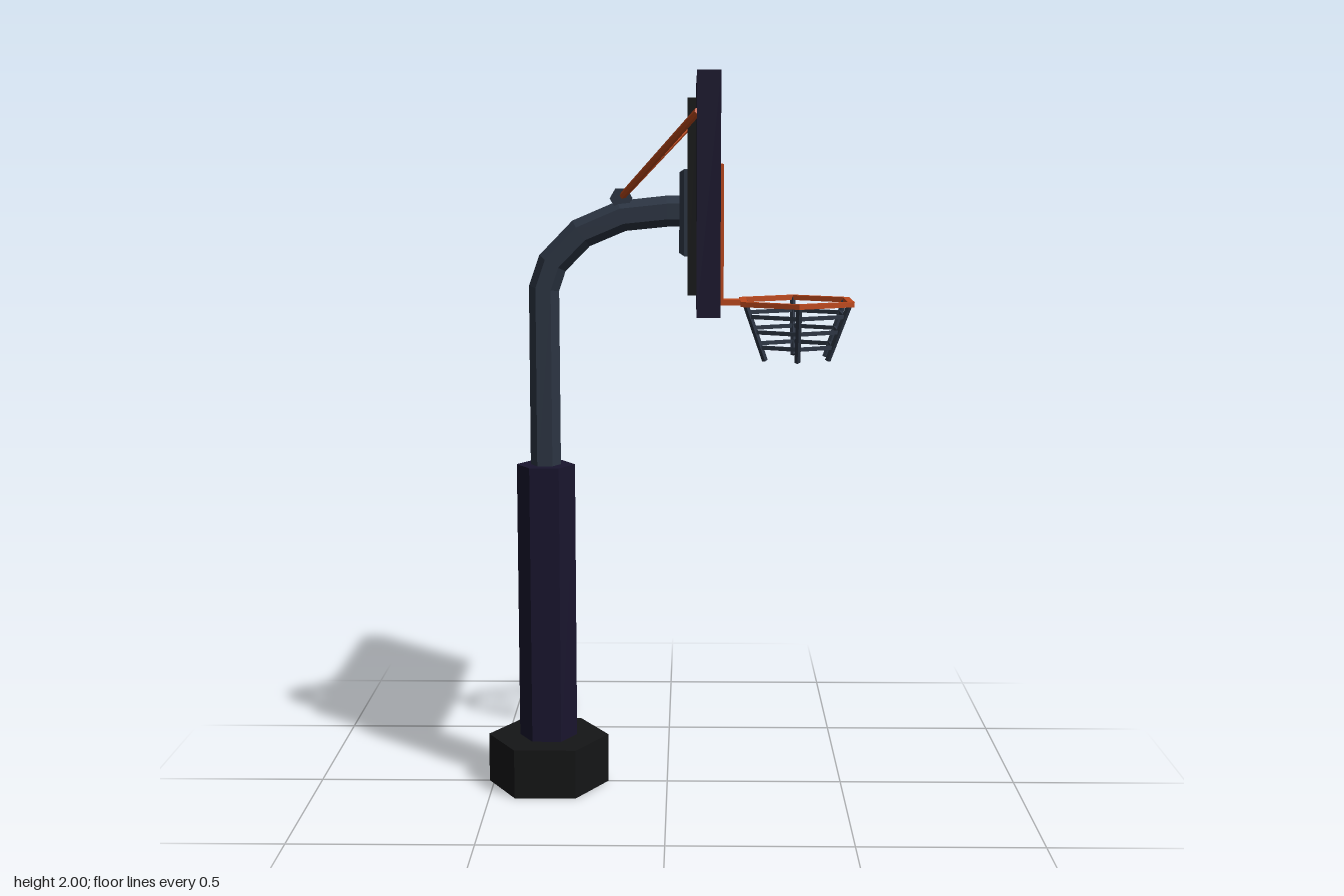
import * as THREE from 'three';

const paint = (color, side = THREE.FrontSide) =>
  new THREE.MeshStandardMaterial({ color, flatShading: true, side });

export function createModel() {
  const group = new THREE.Group();
  const navy = paint(0x19152e);
  const black = paint(0x151617, THREE.DoubleSide);
  const slate = paint(0x2c3543);
  const orange = paint(0xbe491c);
  const white = paint(0xcccccc);

  const add = (name, geometry, material, x = 0, y = 0, z = 0) => {
    const mesh = new THREE.Mesh(geometry, material);
    mesh.name = name;
    mesh.position.set(x, y, z);
    group.add(mesh);
    return mesh;
  };
  // Box given by its limits
  const box = (name, material, x0, x1, y0, y1, z0, z1) =>
    add(name, new THREE.BoxGeometry(x1 - x0, y1 - y0, z1 - z0), material,
      (x0 + x1) / 2, (y0 + y1) / 2, (z0 + z1) / 2);
  // Straight bar between two points
  const bar = (name, material, a, b, radius, sides = 6) => {
    const dir = b.clone().sub(a);
    const mesh = add(name, new THREE.CylinderGeometry(radius, radius, dir.length(), sides), material);
    mesh.position.copy(a).add(b).multiplyScalar(0.5);
    mesh.quaternion.setFromUnitVectors(new THREE.Vector3(0, 1, 0), dir.normalize());
    return mesh;
  };
  // Six-sided column with corners towards +x and -x
  const hexColumn = (radius, height, open = false) =>
    new THREE.CylinderGeometry(radius, radius, height, 6, 1, open, Math.PI / 6);
  // Flat six-sided ring with corners towards +z and -z
  const hexRing = (outer, inner, height) => {
    const corners = (r) => Array.from({ length: 6 }, (_, i) => {
      const a = Math.PI / 2 + i * Math.PI / 3;
      return new THREE.Vector2(r * Math.cos(a), r * Math.sin(a));
    });
    const shape = new THREE.Shape(corners(outer));
    shape.holes.push(new THREE.Path(corners(inner)));
    return new THREE.ExtrudeGeometry(shape, { depth: height, bevelEnabled: false })
      .rotateX(-Math.PI / 2).translate(0, -height / 2, 0);
  };

  // Hollow base, open underneath
  const poleX = -0.342;
  add('baseWall', hexColumn(0.172, 0.14, true), black, poleX, 0.07);
  add('baseTop', new THREE.CircleGeometry(0.172, 6).rotateX(-Math.PI / 2), black, poleX, 0.14);
  add('poleSleeve', hexColumn(0.082, 0.80), navy, poleX, 0.53);

  // Bent pole: a hexagon swept along a path in the x-y plane
  const path = [[poleX, 0.9], [poleX, 1.425], [-0.318, 1.495], [-0.238, 1.577],
    [-0.125, 1.625], [0.0, 1.638], [0.045, 1.638]].map(([x, y]) => new THREE.Vector2(x, y));
  const positions = [], indices = [];
  path.forEach((p, i) => {
    const before = p.clone().sub(path[Math.max(i - 1, 0)]).normalize();
    const after = path[Math.min(i + 1, path.length - 1)].clone().sub(p).normalize();
    const t = before.add(after).normalize();
    for (let k = 0; k < 6; k++) {
      const a = k * Math.PI / 3, r = 0.0425;
      positions.push(p.x + t.y * r * Math.cos(a), p.y - t.x * r * Math.cos(a), r * Math.sin(a));
      if (i === path.length - 1) continue;
      const n = (k + 1) % 6, o = i * 6;
      indices.push(o + k, o + k + 6, o + n, o + n, o + k + 6, o + n + 6);
    }
  });
  const bend = new THREE.BufferGeometry();
  bend.setAttribute('position', new THREE.Float32BufferAttribute(positions, 3));
  bend.setIndex(indices);
  bend.computeVertexNormals();
  add('bentPole', bend, slate);

  // Mounting plate with a chamfered rear edge
  const plate = new THREE.CylinderGeometry(1, 1, 0.026, 4, 2, false, Math.PI / 4);
  const pos = plate.attributes.position;
  for (let i = 0; i < pos.count; i++) {
    const s = Math.SQRT2 * (pos.getY(i) > 0.01 ? 0.93 : 1);
    pos.setX(i, pos.getX(i) * 0.115 * s);
    pos.setZ(i, pos.getZ(i) * 0.14 * s);
  }
  plate.rotateZ(Math.PI / 2);
  plate.computeVertexNormals();
  add('mountingPlate', plate, slate, 0.047, 1.637);

  // Backboard and the rails behind it
  box('backboard', navy, 0.08, 0.14, 1.385, 2, -0.47, 0.47);
  box('crossRail', black, 0.056, 0.082, 1.61, 1.66, -0.185, 0.185);
  for (const s of [-1, 1]) {
    box('backRail', black, 0.056, 0.082, 1.42, 1.94, s * 0.162 - 0.023, s * 0.162 + 0.023);
  }

  // Target frame: white face, orange edges
  const rect = (Kind, w, y0, y1) => new Kind([[-w, y0], [w, y0], [w, y1], [-w, y1]]
    .map(([x, y]) => new THREE.Vector2(x, y)));
  const target = rect(THREE.Shape, 0.191, 1.397, 1.767);
  target.holes.push(rect(THREE.Path, 0.166, 1.42, 1.742));
  add('targetFrame', new THREE.ExtrudeGeometry(target, { depth: 0.014, bevelEnabled: false })
    .rotateY(Math.PI / 2), [white, orange], 0.139);

  // Brace clamp and the two braces
  add('braceClamp', new THREE.CylinderGeometry(0.031, 0.031, 0.03, 6, 1, false, Math.PI / 6)
    .rotateX(Math.PI / 2), slate, -0.127, 1.673);
  for (const s of [-1, 1]) {
    bar('brace', orange, new THREE.Vector3(-0.127, 1.675, 0),
      new THREE.Vector3(0.083, 1.9, s * 0.43), 0.01);
  }

  // Rim and its arm
  const rimX = 0.357, rimY = 1.388;
  box('rimArm', orange, 0.139, 0.212, rimY - 0.007, rimY + 0.007, -0.029, 0.029);
  add('rim', hexRing(0.179, 0.158, 0.014), orange, rimX, rimY);

  // Net: tapering strands and three hoops
  const netRadius = (y) => 0.1 + (y - 1.23) / (rimY - 1.23) * 0.064;
  for (let i = 0; i < 6; i++) {
    const a = Math.PI / 6 + i * Math.PI / 3;
    const point = (y) => new THREE.Vector3(
      rimX + netRadius(y) * Math.cos(a), y, netRadius(y) * Math.sin(a));
    bar('netStrand', slate, point(1.23), point(rimY), 0.008, 4);
  }
  for (const y of [1.353, 1.31, 1.267]) {
    const r = netRadius(y);
    add('netHoop', hexRing(r + 0.003, r - 0.005, 0.011), slate, rimX, y);
  }
  return group;
}
